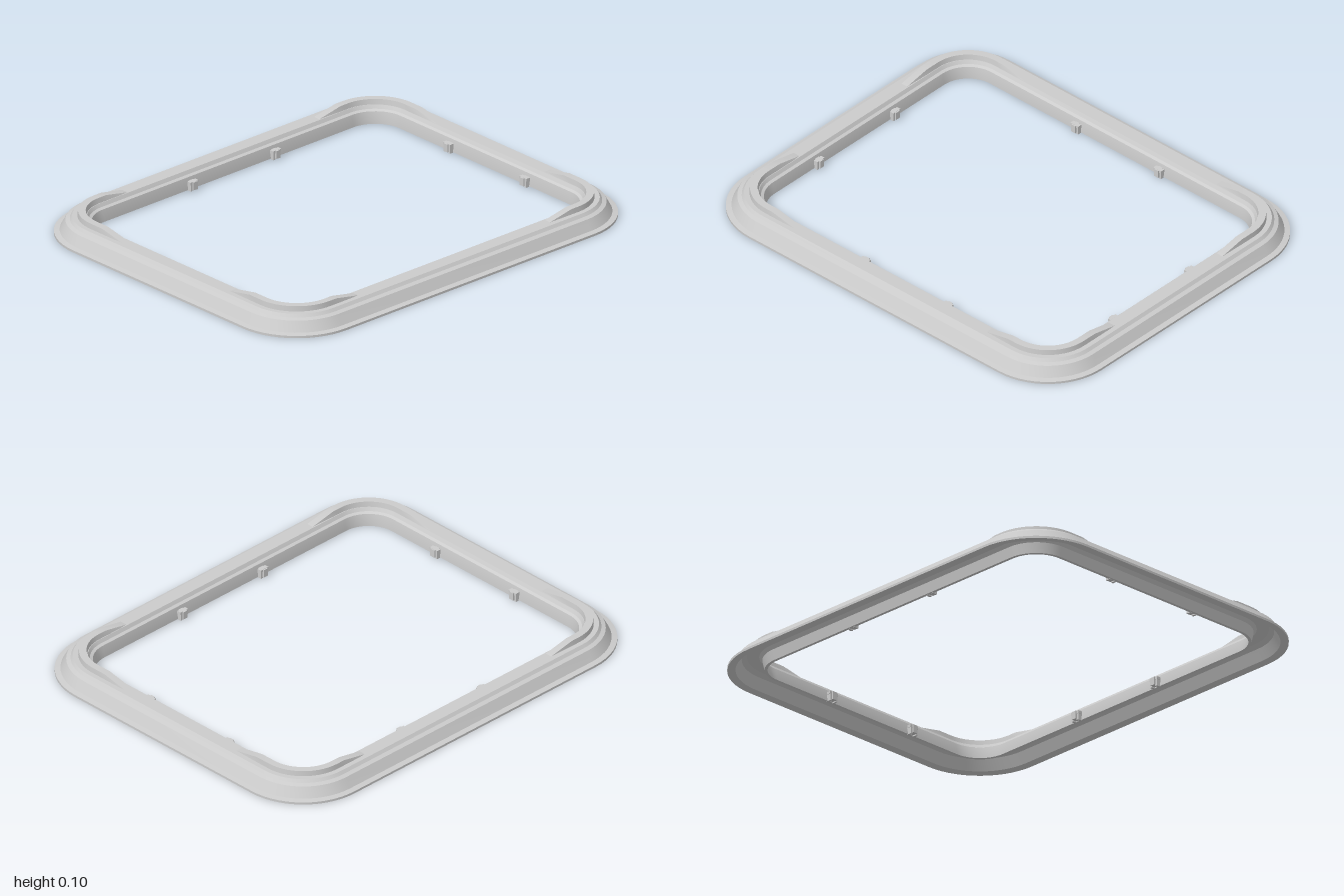
import * as THREE from 'three';
import { toCreasedNormals } from 'three/addons/utils/BufferGeometryUtils.js';

const material = new THREE.MeshStandardMaterial({ color: 0xcccccc, side: THREE.DoubleSide });

// Corner arc centres and outer radius of the rounded rectangle
const CX = 0.7, CZ = 0.52, R = 0.3, STEPS = 14;

// Stations round one corner: position of the arc centre plus the outward direction
function cornerStations(k) {
  const sx = k === 0 || k === 3 ? 1 : -1, sz = k < 2 ? 1 : -1;
  return Array.from({ length: STEPS + 1 }, (_, i) => {
    const a = (k + i / STEPS) * Math.PI / 2;
    return { x: sx * CX, z: sz * CZ, nx: Math.cos(a), nz: Math.sin(a), h: 1 };
  });
}

// Sweep a closed cross-section of [inset from outer edge, height] along stations
function sweep(stations, profileAt, closed) {
  const rings = stations.map(s => profileAt(s.h).map(([d, y]) =>
    [s.x + s.nx * (R - d), y, s.z + s.nz * (R - d)]));
  const pos = [], n = rings[0].length, count = rings.length - (closed ? 0 : 1);
  for (let i = 0; i < count; i++) {
    const a = rings[i], b = rings[(i + 1) % rings.length];
    for (let j = 0; j < n; j++) {
      const k = (j + 1) % n;
      pos.push(...a[j], ...a[k], ...b[k], ...a[j], ...b[k], ...b[j]);
    }
  }
  const g = new THREE.BufferGeometry();
  g.setAttribute('position', new THREE.Float32BufferAttribute(pos, 3));
  return toCreasedNormals(g, 0.45);
}

function add(parent, name, geometry) {
  const mesh = new THREE.Mesh(geometry, material);
  mesh.name = name;
  parent.add(mesh);
  return mesh;
}

// Raised ridge round a corner, ramping down along both neighbouring straights
function cornerRidge(k) {
  const arc = cornerStations(k);
  const along = (s, full, end) => {
    const onX = Math.abs(s.nx) > 0.5; // side runs along z
    return [[full, 1], [end, 0]].map(([t, h]) => onX
      ? { ...s, z: Math.sign(s.z) * t[1], h }
      : { ...s, x: Math.sign(s.x) * t[0], h });
  };
  const full = [0.66, 0.45], end = [0.54, 0.33];
  const path = [
    ...along(arc[0], full, end).reverse(), ...arc, ...along(arc[STEPS], full, end),
  ];
  return sweep(path, h => {
    const top = 0.077 + 0.023 * h;
    return [[0.097, 0.068], [0.1, top], [0.132, top], [0.137, 0.068]];
  }, false);
}

// Small retaining clip; local +z points into the opening
function clip() {
  const g = new THREE.Group();
  g.name = 'clip';
  add(g, 'clipStem', new THREE.BoxGeometry(0.022, 0.035, 0.032)).position.set(0, 0.024, 0.008);
  add(g, 'clipHead', new THREE.BoxGeometry(0.044, 0.012, 0.02)).position.set(0, 0.036, 0.008);
  for (const s of [-1, 1])
    add(g, 'clipProng', new THREE.BoxGeometry(0.01, 0.03, 0.022)).position.set(s * 0.015, 0.016, 0.006);
  return g;
}

export function createModel() {
  const model = new THREE.Group();
  model.name = 'frame';

  // Hollow channel: flange, sloped outer wall, top, inner wall, then the underside
  const loop = [0, 1, 2, 3].flatMap(cornerStations);
  const channel = [
    [0, 0], [0, 0.01], [0.024, 0.014], [0.048, 0.058], [0.066, 0.064], [0.076, 0.077],
    [0.138, 0.077], [0.146, 0.062], [0.158, 0.056], [0.167, 0.008], [0.167, 0.003],
    [0.154, 0.003], [0.145, 0.048], [0.132, 0.062], [0.082, 0.062], [0.06, 0.05], [0.034, 0.004],
  ];
  add(model, 'channelFrame', sweep(loop, () => channel, true));

  for (let k = 0; k < 4; k++) add(model, 'cornerRidge', cornerRidge(k));

  // Two clips on the inside of each side
  for (const t of [-0.21, 0.255]) for (const s of [-1, 1]) {
    const a = clip();
    a.position.set(t, 0, s * 0.653);
    a.rotation.y = s > 0 ? Math.PI : 0;
    const b = clip();
    b.position.set(s * 0.833, 0, t);
    b.rotation.y = -s * Math.PI / 2;
    model.add(a, b);
  }
  return model;
}
